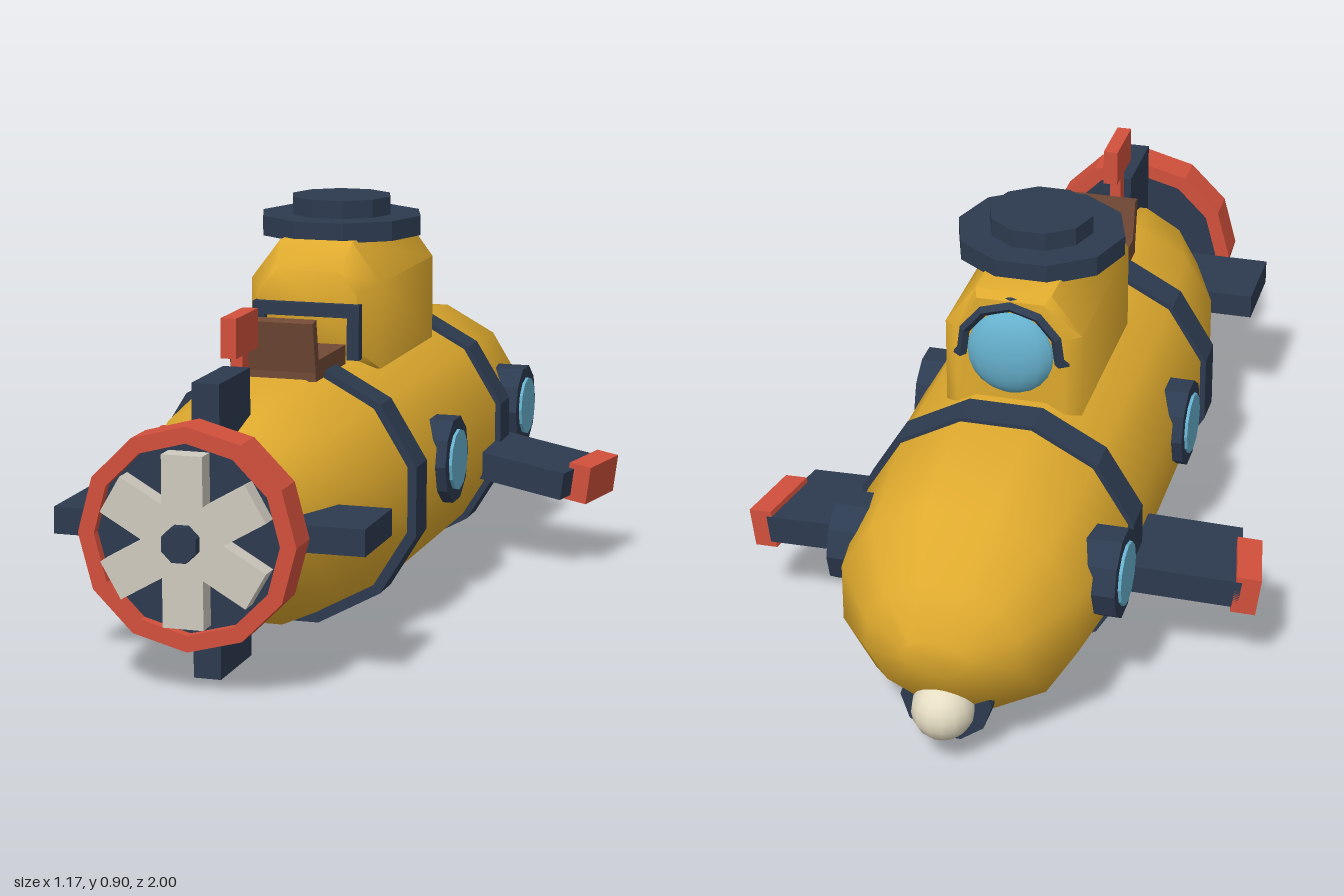
import * as THREE from 'three';
import { toCreasedNormals } from 'three/addons/utils/BufferGeometryUtils.js';

const mat = (name, color) => {
  const m = new THREE.MeshStandardMaterial({ color });
  m.name = name;
  return m;
};

// Joins closed rings of [x, y, z] points, ordered along +z, and caps both ends
function loft(rings, crease) {
  const n = rings[0].length, last = (rings.length - 1) * n, idx = [];
  for (let s = 0; s < rings.length - 1; s++) {
    for (let i = 0; i < n; i++) {
      const a = s * n + i, b = s * n + (i + 1) % n;
      idx.push(a, b, b + n, a, b + n, a + n);
    }
  }
  for (let i = 1; i < n - 1; i++) {
    idx.push(0, i + 1, i, last, last + i, last + i + 1);
  }
  const g = new THREE.BufferGeometry();
  g.setAttribute('position', new THREE.Float32BufferAttribute(rings.flat(2), 3));
  g.setIndex(idx);
  return toCreasedNormals(g, crease);
}

// Faceted cylinder along y
const drum = (r, h, sides, start = 0) =>
  toCreasedNormals(new THREE.CylinderGeometry(r, r, h, sides, 1, false, start), 0.4);

export function createModel() {
  const yellow = mat('hull yellow', 0xe0ab2e);
  const navy = mat('trim navy', 0x2d3b50);
  const red = mat('accent red', 0xd2503c);
  const brown = mat('seat brown', 0x724a36);
  const blue = mat('glass blue', 0x66b1ce);
  const cream = mat('lamp cream', 0xe6dec4);
  const grey = mat('propeller grey', 0xcfcabe);
  const model = new THREE.Group();
  model.name = 'submarine';

  const add = (name, geo, material, x = 0, y = 0, z = 0, parent = model) => {
    const m = new THREE.Mesh(geo, material);
    m.name = name;
    m.position.set(x, y, z);
    parent.add(m);
    return m;
  };
  const box = (name, material, w, h, d, x, y, z, parent) =>
    add(name, new THREE.BoxGeometry(w, h, d), material, x, y, z, parent);

  // Hull: twelve-sided sections [z, centre y, half width, half height]
  const sections = [
    [-0.985, 0.293, 0.07, 0.042], [-0.93, 0.293, 0.165, 0.145],
    [-0.8, 0.298, 0.258, 0.244], [-0.5, 0.298, 0.294, 0.278],
    [0.28, 0.298, 0.294, 0.276], [0.545, 0.306, 0.257, 0.25],
    [0.74, 0.32, 0.18, 0.188], [0.88, 0.333, 0.09, 0.095],
  ];
  const k = 1 / Math.cos(Math.PI / 12);
  const hullRings = sections.map(([z, cy, rx, ry]) =>
    Array.from({ length: 12 }, (_, i) => {
      const a = (i + 0.5) * Math.PI / 6;
      return [Math.cos(a) * rx * k, cy + Math.sin(a) * ry * k, z];
    }));
  add('hull', loft(hullRings, 0.75), yellow);

  // Hull bands
  for (const [name, z] of [['rearBand', 0.288], ['noseBand', -0.458]]) {
    const band = add(name, drum(1, 0.085, 12, Math.PI / 12), navy, 0, 0.295, z);
    band.rotation.x = Math.PI / 2;
    band.scale.set(0.318, 1, 0.3);
  }

  // Tower: chamfered sections [z, half width, shoulder width, bottom, shoulder y, top]
  const tower = [
    [-0.378, 0.12, 0.075, 0.55, 0.735, 0.815], [-0.35, 0.153, 0.085, 0.54, 0.735, 0.825],
    [0.085, 0.153, 0.085, 0.54, 0.735, 0.825], [0.147, 0.115, 0.075, 0.59, 0.715, 0.765],
  ].map(([z, w, s, b, m, t]) =>
    [[w, b, z], [w, m, z], [s, t, z], [-s, t, z], [-w, m, z], [-w, b, z]]);
  add('tower', loft(tower, 0.9), yellow);

  // Hatch
  add('hatchRim', drum(0.19, 0.045, 10, Math.PI / 2), navy, 0, 0.842, -0.11);
  add('hatchLid', drum(0.118, 0.042, 10, Math.PI / 2), navy, 0, 0.885, -0.11);

  // Tower windscreen with its brow
  const screen = add('towerWindow', new THREE.SphereGeometry(0.1, 16, 12), blue, 0, 0.69, -0.37);
  screen.scale.z = 0.46;
  const brow = add('windowBrow',
    toCreasedNormals(new THREE.TorusGeometry(0.112, 0.02, 4, 6, Math.PI * 1.1), 0.4),
    navy, 0, 0.69, -0.37);
  brow.rotation.z = -Math.PI * 0.05;

  // Door frame at the back of the tower
  box('doorFrameTop', navy, 0.25, 0.03, 0.025, 0, 0.68, 0.152);
  for (const s of [-1, 1]) box('doorFramePost', navy, 0.028, 0.12, 0.025, s * 0.111, 0.63, 0.152);

  // Deck seat
  box('seat', brown, 0.195, 0.045, 0.22, 0, 0.585, 0.285);
  box('seatBack', brown, 0.195, 0.125, 0.027, 0, 0.635, 0.392).rotation.x = 0.2;

  // Periscope
  box('periscopePost', red, 0.026, 0.16, 0.036, 0, 0.59, 0.617);
  box('periscopeHead', red, 0.034, 0.085, 0.143, 0, 0.703, 0.617);

  // Tail fins
  box('verticalTailFin', navy, 0.06, 0.625, 0.196, 0, 0.322, 0.735);
  box('horizontalTailFin', navy, 0.68, 0.058, 0.196, 0, 0.323, 0.73);

  // Propeller in its shroud
  const prop = new THREE.Group();
  prop.name = 'propeller';
  prop.position.set(0, 0.334, 0);
  model.add(prop);
  const circle = (r) => Array.from({ length: 12 }, (_, i) =>
    new THREE.Vector2(Math.cos(i * Math.PI / 6) * r, Math.sin(i * Math.PI / 6) * r));
  const shroud = new THREE.Shape(circle(0.235));
  shroud.holes.push(new THREE.Path(circle(0.2)));
  add('shroud', new THREE.ExtrudeGeometry(shroud, { depth: 0.086, bevelEnabled: false }),
    red, 0, 0, 0.869, prop);
  add('shroudDisc', drum(0.203, 0.045, 12), navy, 0, 0, 0.91, prop).rotation.x = Math.PI / 2;
  for (let i = 0; i < 3; i++) {
    box('bladePair', grey, 0.088, 0.36, 0.045, 0, 0, 0.955, prop).rotation.z = i * Math.PI / 3;
  }
  add('hub', drum(0.04, 0.08, 8, Math.PI / 8), navy, 0, 0, 0.96, prop).rotation.x = Math.PI / 2;

  for (const s of [-1, 1]) {
    const side = s > 0 ? 'left' : 'right';

    // Portholes
    for (const z of [0.03, -0.625]) {
      add(side + 'PortholeFrame', drum(0.1, 0.08, 10), navy, s * 0.278, 0.33, z)
        .rotation.z = Math.PI / 2;
      add(side + 'PortholeGlass', drum(0.07, 0.02, 12), blue, s * 0.315, 0.33, z)
        .rotation.z = Math.PI / 2;
    }

    // Diving planes, swept and drooping
    const plane = new THREE.Group();
    plane.name = side + 'DivingPlane';
    plane.position.set(s * 0.4, 0.232, -0.39);
    plane.rotation.set(0, -s * 0.19, -s * 0.14);
    model.add(plane);
    box(side + 'PlaneBlade', navy, 0.28, 0.065, 0.225, -s * 0.018, 0, 0, plane);
    box(side + 'PlaneTip', red, 0.055, 0.09, 0.165, s * 0.136, 0, -0.03, plane);
  }

  // Nose lamp
  add('lampMount', drum(0.1, 0.07, 10, Math.PI / 10), navy, 0, 0.14, -0.875)
    .rotation.x = Math.PI / 2;
  add('lamp', new THREE.SphereGeometry(0.068, 14, 10), cream, 0, 0.135, -0.932);

  return model;
}
